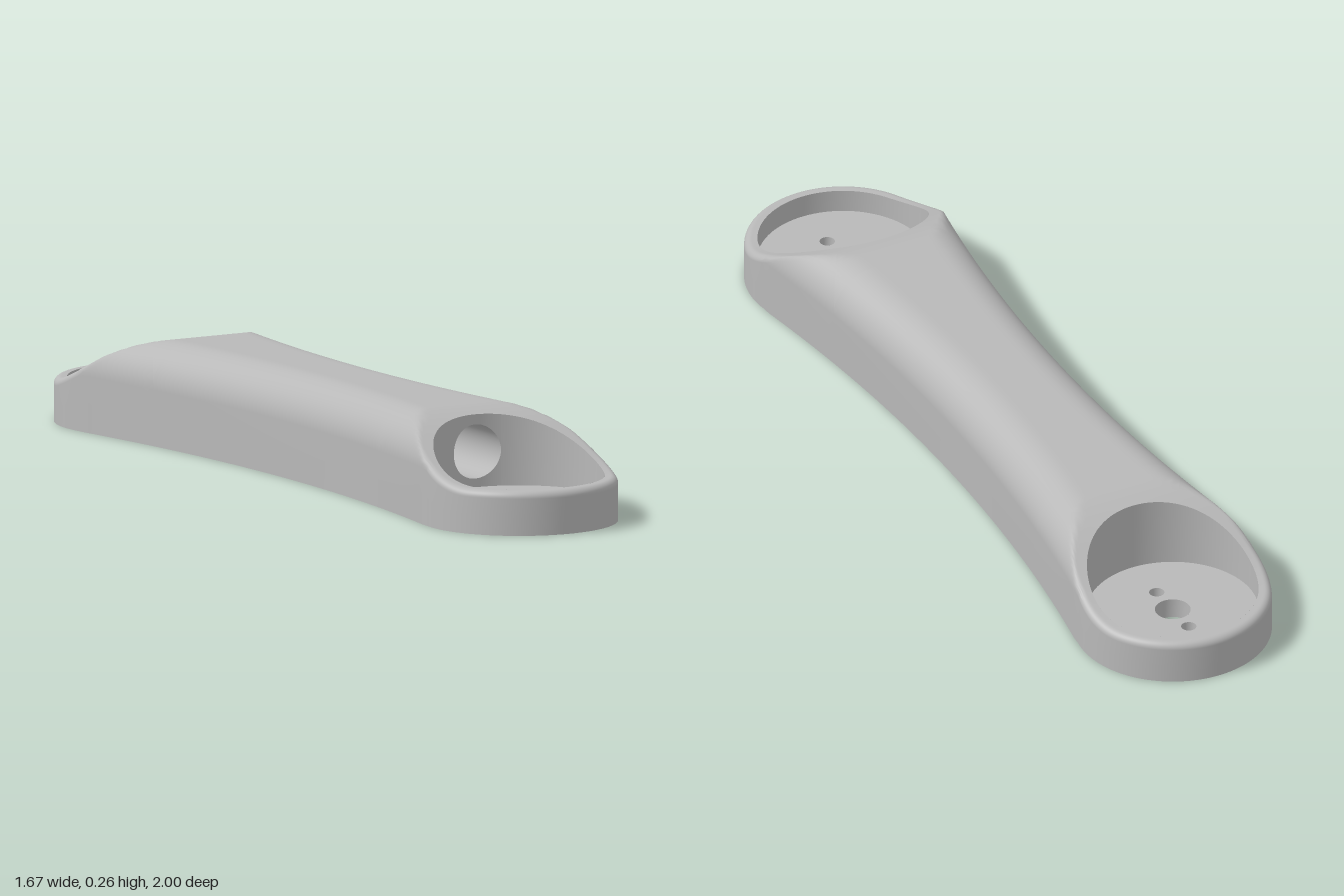
import * as THREE from 'three';
import { mergeGeometries, mergeVertices } from 'three/addons/utils/BufferGeometryUtils.js';

// Built along local z, then turned about y to lie diagonally.
const HALF = 0.937, END_R = 0.26, POCKET_R = 0.225, WAIST = 0.18;
const FLOOR = 0.055, TOP = 0.265, JOIN = 0.58;
const TUNNEL_R = 0.072, TUNNEL_Y = 0.15, TUNNEL_END = 0.25;

// Concave side arcs, tangent to the round ends
const SIDE_C = (HALF ** 2 + WAIST ** 2 - END_R ** 2) / (2 * (END_R - WAIST));
const SIDE_R = SIDE_C - WAIST;
const TAN_Z = HALF * (1 - END_R / (SIDE_R + END_R));
const TAN_ANGLE = Math.atan2(SIDE_C, -HALF);
const halfWidth = z => SIDE_C - Math.sqrt(SIDE_R ** 2 - z * z);

function edgeDistance(x, z) {
  const a = Math.abs(z), dz = a - HALF;
  const past = Math.atan2(Math.abs(x), dz) <= TAN_ANGLE;
  const d = past ? END_R - Math.hypot(x, dz) : Math.hypot(a, SIDE_C - Math.abs(x)) - SIDE_R;
  return Math.max(0, d);
}
const fillet = (r, d) => (d < r ? r - Math.sqrt(r * r - (r - d) ** 2) : 0);

// Height of the top skin: rounded bar cut by an S-shaped slope at each end
function height(x, z) {
  const d = edgeDistance(x, z);
  const slope = TOP + 0.002 - 0.149 * THREE.MathUtils.smoothstep(Math.abs(z), 0.615, 1.06);
  return Math.min(TOP - fillet(0.115, d), slope - fillet(0.02, d));
}

// Grid surface; faces point along (row direction) x (column direction)
function grid(rows, cols, point) {
  const pos = [], index = [];
  for (let i = 0; i <= rows; i++) for (let j = 0; j <= cols; j++) pos.push(...point(i, j));
  for (let i = 0; i < rows; i++) for (let j = 0; j < cols; j++) {
    const a = i * (cols + 1) + j, b = a + cols + 1;
    index.push(a, b, a + 1, b, b + 1, a + 1);
  }
  const g = new THREE.BufferGeometry();
  g.setAttribute('position', new THREE.Float32BufferAttribute(pos, 3));
  g.setIndex(index);
  return g;
}
function smooth(parts) {
  const g = mergeVertices(mergeGeometries(parts), 1e-5);
  g.computeVertexNormals();
  return g;
}

const N = 40; // samples across the bar
const across = j => Math.sin((j / N - 0.5) * Math.PI);

// Outline of the front end, from the left join round to the right join
function endOutline() {
  const pts = [], S = 14, A = 72;
  for (let i = 0; i < S; i++) {
    const z = JOIN + (TAN_Z - JOIN) * i / S;
    pts.push([-halfWidth(z), z]);
  }
  for (let i = 0; i <= A; i++) {
    const a = TAN_ANGLE * (2 * i / A - 1);
    pts.push([END_R * Math.sin(a), HALF + END_R * Math.cos(a)]);
  }
  for (let i = S - 1; i >= 0; i--) pts.push([-pts[i][0], pts[i][1]]);
  return pts;
}

function bodySkin(outline, end) {
  const parts = [];
  // middle of the bar
  parts.push(grid(40, N, (i, j) => {
    const z = JOIN * (i / 20 - 1), x = halfWidth(z) * across(j);
    return [x, height(x, z), z];
  }));
  // fans between each pocket rim and the outline
  const loop = [];
  for (let j = 0; j < N; j++) loop.push([-halfWidth(JOIN) * across(j), JOIN]);
  loop.push(...end);
  const R = 14;
  for (const s of [1, -1]) {
    parts.push(grid(R, loop.length - 1, (i, j) => {
      const [bx, bz] = loop[j], dz = bz - HALF, len = Math.hypot(bx, dz);
      const t = 1 - (1 - i / R) ** 1.7;
      const k = (POCKET_R + (len - POCKET_R) * t) / len;
      const x = bx * k * s, z = (HALF + dz * k) * s;
      return [x, height(x, z), z];
    }));
  }
  // upright side wall
  parts.push(grid(2, outline.length, (i, j) => {
    const [x, z] = outline[j % outline.length];
    return [x, height(x, z) * (1 - i / 2), z];
  }));
  return smooth(parts);
}

// Pocket wall, optionally with a round opening facing the arm
function pocketWall(s, holeR) {
  const angles = [], edge = Math.asin(holeR / POCKET_R);
  for (let i = 0; i <= 24; i++) {
    angles.push(Math.PI + (holeR ? Math.asin(holeR / POCKET_R * Math.sin((i / 24 - 0.5) * Math.PI)) : 0));
  }
  for (let i = 1; i <= 96; i++) angles.push(Math.PI + edge + (2 * Math.PI - 2 * edge) * i / 96);
  const band = upper => grid(1, angles.length - 1, (i, j) => {
    const x = POCKET_R * Math.sin(angles[j]), z = HALF + POCKET_R * Math.cos(angles[j]);
    const gap = j <= 24 ? Math.sqrt(Math.max(0, holeR ** 2 - x * x)) : 0;
    const y = upper ? (i ? height(x, z) : Math.min(TUNNEL_Y + gap, height(x, z)))
      : (i ? Math.min(TUNNEL_Y - gap, height(x, z)) : FLOOR);
    return [x * s, y, z * s];
  });
  return smooth([band(false), band(true)]);
}

// Blind passage running from the front pocket into the bar
function tunnel() {
  return smooth([grid(2, 48, (i, j) => {
    const a = j / 48 * Math.PI * 2, x = TUNNEL_R * Math.sin(a);
    const start = HALF - Math.sqrt(POCKET_R ** 2 - x * x);
    return [x, TUNNEL_Y + TUNNEL_R * Math.cos(a), start + (TUNNEL_END - start) * i / 2];
  })]);
}

// Centre bore and two screw holes: [offset along the bar, radius]
const BORES = [[0, 0.047], [0.091, 0.02], [-0.091, 0.02]];
function addBores(shape, z) {
  for (const [dz, r] of BORES) shape.holes.push(new THREE.Path().absarc(0, z + dz, r, 0, Math.PI * 2, true));
}
function boreWall(z, r) {
  return smooth([grid(1, 40, (i, j) => {
    const a = j / 40 * Math.PI * 2;
    return [r * Math.sin(a), FLOOR * i, z + r * Math.cos(a)];
  })]);
}

export function createModel() {
  const grey = new THREE.MeshStandardMaterial({ color: 0xb8b8b8, side: THREE.DoubleSide });
  grey.name = 'plainGrey';
  const model = new THREE.Group();
  model.name = 'linkArm';
  const arm = new THREE.Group();
  arm.name = 'arm';
  arm.rotation.y = Math.atan2(0.575, 0.74);
  model.add(arm);
  const add = (name, geometry) => {
    const m = new THREE.Mesh(geometry, grey);
    m.name = name;
    arm.add(m);
    return m;
  };

  // closed outline of the whole bar
  const end = endOutline(), outline = [];
  for (const s of [1, -1]) {
    for (const [x, z] of end) outline.push([x * s, z * s]);
    for (let i = 1; i < 40; i++) {
      const z = JOIN * (1 - i / 20);
      outline.push([halfWidth(z) * s, z * s]);
    }
  }
  add('bodySkin', bodySkin(outline, end));

  // flat underside
  const base = new THREE.Shape(outline.map(([x, z]) => new THREE.Vector2(x, z)));
  addBores(base, HALF);
  addBores(base, -HALF);
  add('underside', new THREE.ShapeGeometry(base, 40).rotateX(Math.PI / 2));

  // pockets
  for (const [s, label] of [[1, 'front'], [-1, 'back']]) {
    add(label + 'PocketWall', pocketWall(s, s > 0 ? TUNNEL_R : 0));
    const disc = new THREE.Shape().absarc(0, 0, POCKET_R, 0, Math.PI * 2, false);
    addBores(disc, 0);
    add(label + 'PocketFloor', new THREE.ShapeGeometry(disc, 48).rotateX(-Math.PI / 2).translate(0, FLOOR, s * HALF));
    for (const [dz, r] of BORES) add(label + 'Bore', boreWall(s * HALF + dz, r));
  }

  // passage and its end face
  add('tunnelWall', tunnel());
  add('tunnelEnd', new THREE.CircleGeometry(TUNNEL_R, 48).translate(0, TUNNEL_Y, TUNNEL_END));
  return model;
}
